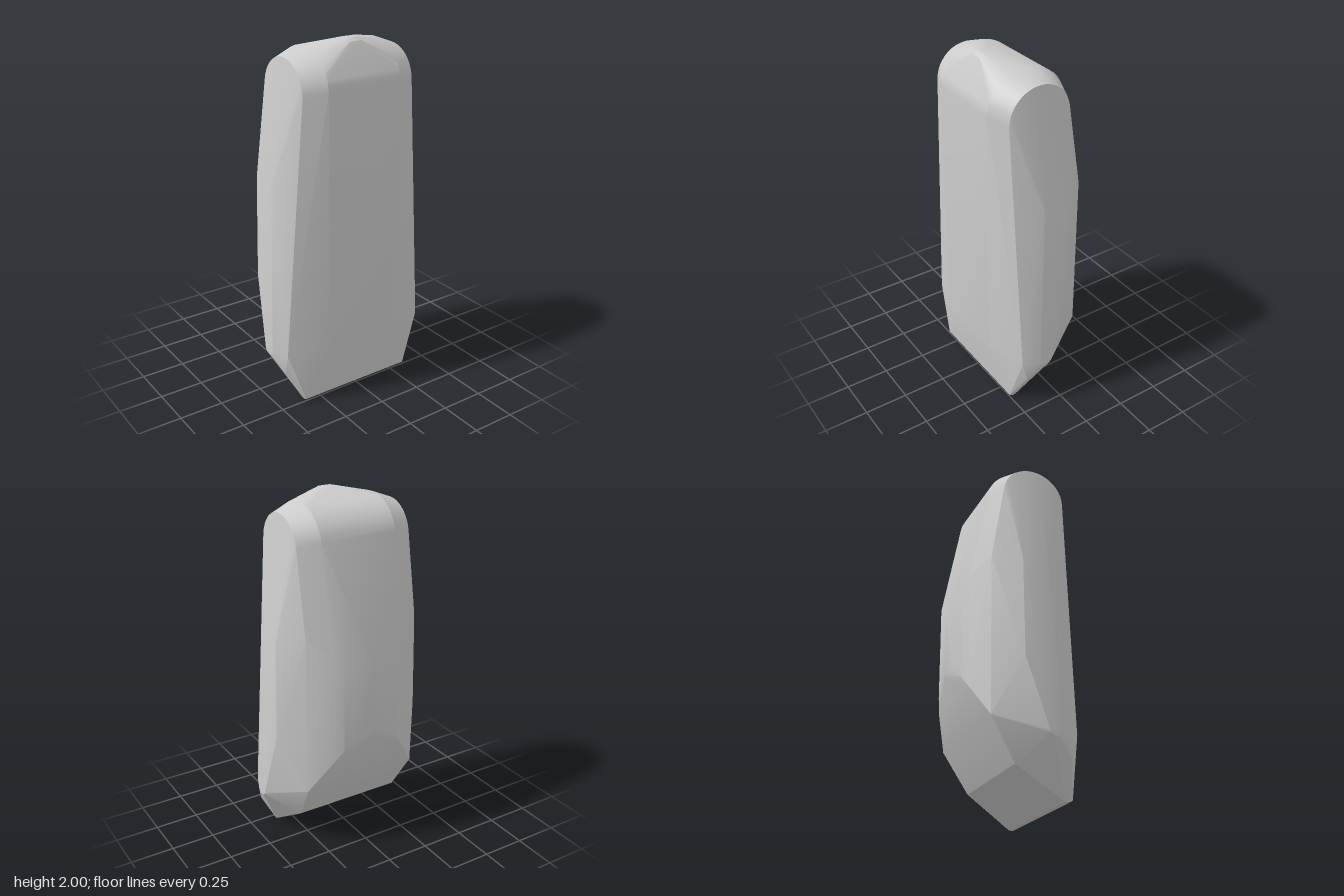
import * as THREE from 'three';
import { ConvexGeometry } from 'three/addons/geometries/ConvexGeometry.js';
import { toCreasedNormals } from 'three/addons/utils/BufferGeometryUtils.js';

export function createModel() {
  const group = new THREE.Group();
  const points = [];

  // adds a point and its mirror image across x = 0
  const pair = (x, y, z) => {
    points.push(new THREE.Vector3(x, y, z), new THREE.Vector3(-x, y, z));
  };

  // rounded shoulder: half ellipse in the side plane at a given x
  const arch = (x, y, z, ry, rz, steps = 20) => {
    for (let i = 0; i <= steps; i++) {
      const a = (i / steps) * Math.PI;
      pair(x, y + ry * Math.sin(a), z + rz * Math.cos(a));
    }
  };
  arch(0.345, 1.74, 0.067, 0.18, 0.182);
  arch(0.225, 1.765, 0.07, 0.2, 0.23);

  // crown
  [[2.0, 0.19], [2.0, 0.14], [1.985, 0.215], [1.945, -0.03], [1.87, -0.12]]
    .forEach(([y, z]) => pair(0.035, y, z));

  // front panel and its bottom bevel
  pair(0.225, 1.76, 0.3);
  pair(0.225, 0.32, 0.308);
  pair(0.345, 0.01, 0.25);
  pair(0.345, 0, 0.235);
  pair(0.345, 0, 0.21);

  // side walls with rounded lower ends
  pair(0.45, 0.31, 0.232);
  pair(0.45, 0.19, 0.2);
  for (let i = 0; i <= 6; i++) {
    const a = (i / 6) * Math.PI;
    pair(0.49, 0.31 - 0.03 * Math.sin(a), 0.1 + 0.037 * Math.cos(a));
  }
  pair(0.447, 1.27, 0.1);
  pair(0.447, 1.27, -0.05);
  pair(0.46, 0.7, -0.05);

  // curved back
  [[0, -0.315, 1.15, 0.72], [0.1, -0.307, 1.16, 0.71], [0.17, -0.287, 1.19, 0.65],
    [0.225, -0.264, 1.22, 0.58], [0.345, -0.19, 1.3, 0.4]]
    .forEach(([x, z, top, bottom]) => {
      pair(x, top, z);
      pair(x, bottom, z);
    });

  // lower back facets
  pair(0.32, 0.17, -0.05);

  const body = new THREE.Mesh(
    toCreasedNormals(new ConvexGeometry(points), 0.35),
    new THREE.MeshStandardMaterial({ color: 0xcccccc })
  );
  body.name = 'body';
  group.add(body);
  return group;
}
